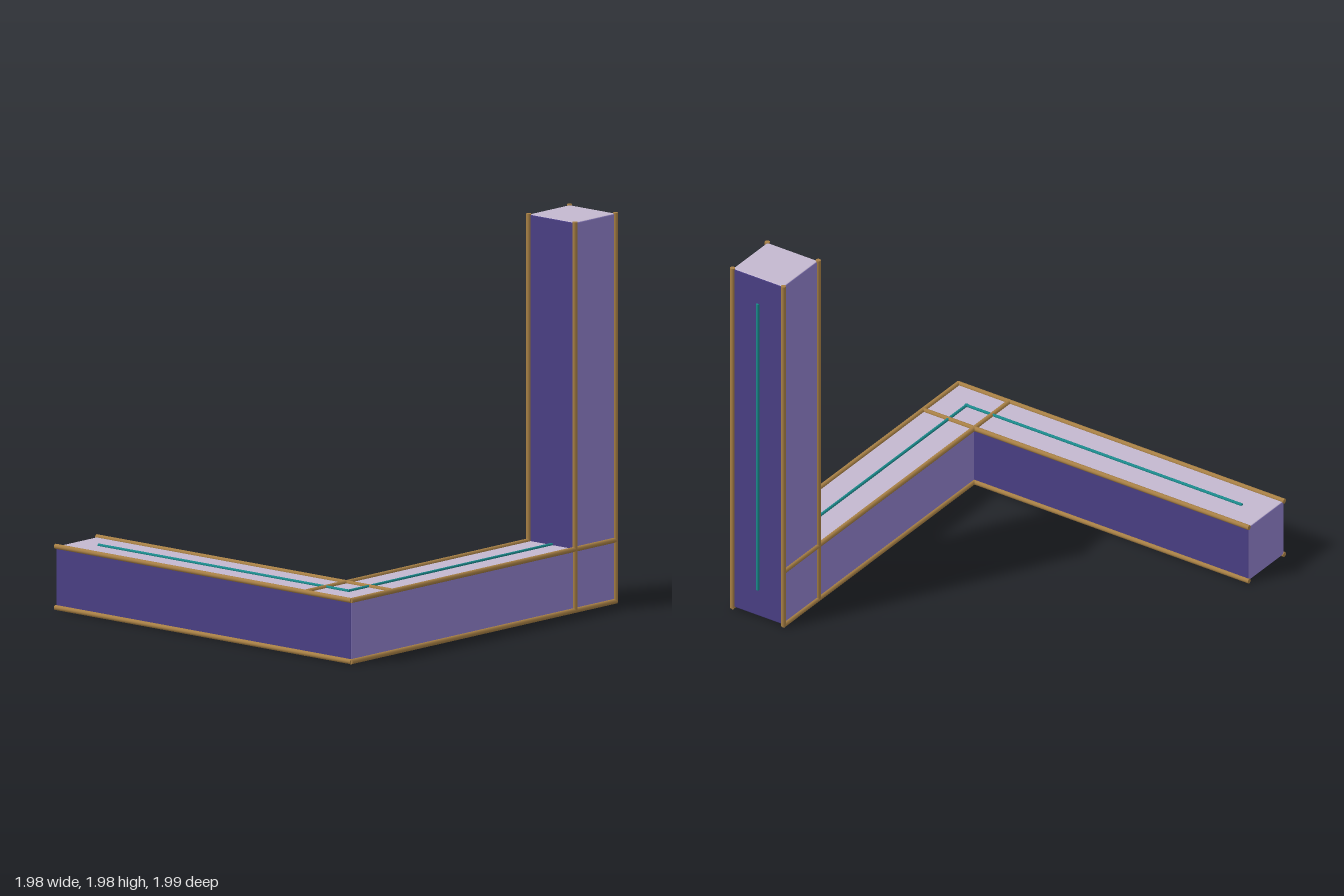
import * as THREE from 'three';
import { RoundedBoxGeometry } from 'three/addons/geometries/RoundedBoxGeometry.js';

const mat = (name, color) => {
  const m = new THREE.MeshStandardMaterial({ color });
  m.name = name;
  return m;
};

export function createModel() {
  const model = new THREE.Group();
  model.name = 'threeBeamCorner';

  const sideViolet = mat('light violet', 0x9080cc);
  const frontViolet = mat('deep violet', 0x4a3f85);
  const topLavender = mat('pale lavender', 0xc4b8cf);
  const bronze = mat('bronze', 0xa88045);
  const teal = mat('teal', 0x1a8a8c);
  const faces = [sideViolet, sideViolet, topLavender, topLavender, frontViolet, frontViolet];

  // Round bar between two points
  const rod = (name, a, b, r, material) => {
    const from = new THREE.Vector3(...a), to = new THREE.Vector3(...b);
    const dir = to.clone().sub(from);
    const mesh = new THREE.Mesh(new THREE.CylinderGeometry(r, r, dir.length(), 12), material);
    mesh.position.copy(from).add(to).multiplyScalar(0.5);
    mesh.quaternion.setFromUnitVectors(new THREE.Vector3(0, 1, 0), dir.normalize());
    mesh.name = name;
    model.add(mesh);
  };

  // Square beam with a bronze rail on each of its four long edges
  const beam = (name, min, max, axis) => {
    const size = max.map((v, i) => v - min[i]);
    const box = new THREE.Mesh(new RoundedBoxGeometry(...size, 2, 0.007), faces);
    box.position.set(...max.map((v, i) => (v + min[i]) / 2));
    box.name = name;
    model.add(box);
    const u = (axis + 1) % 3, v = (axis + 2) % 3;
    for (const pu of [min[u], max[u]]) {
      for (const pv of [min[v], max[v]]) {
        const a = [], b = [];
        a[u] = b[u] = pu;
        a[v] = b[v] = pv;
        a[axis] = min[axis] - 0.004;
        b[axis] = max[axis] + 0.004;
        rod(name + 'Rail', a, b, 0.013, bronze);
      }
    }
  };

  const x0 = 0.67, x1 = 0.977, y0 = 0.017, y1 = 0.327;
  beam('frontBeam', [-0.986, y0, 0.674], [x1, y1, 0.981], 0);
  beam('sideBeam', [x0, y0, -0.985], [x1, y1, 0.981], 2);
  beam('tower', [x0, y0, -0.985], [x1, 1.981, -0.682], 1);

  // Thin centre line running along the beams and up the back of the tower
  const cx = 0.823, cz = 0.828, ty = y1 + 0.003, r = 0.008;
  rod('frontCentreLine', [-0.84, ty, cz], [cx + r, ty, cz], r, teal);
  rod('sideCentreLine', [cx, ty, cz + r], [cx, ty, -0.83], r, teal);
  rod('towerCentreLine', [cx, 0.17, -0.988], [cx, 1.83, -0.988], r, teal);

  return model;
}
